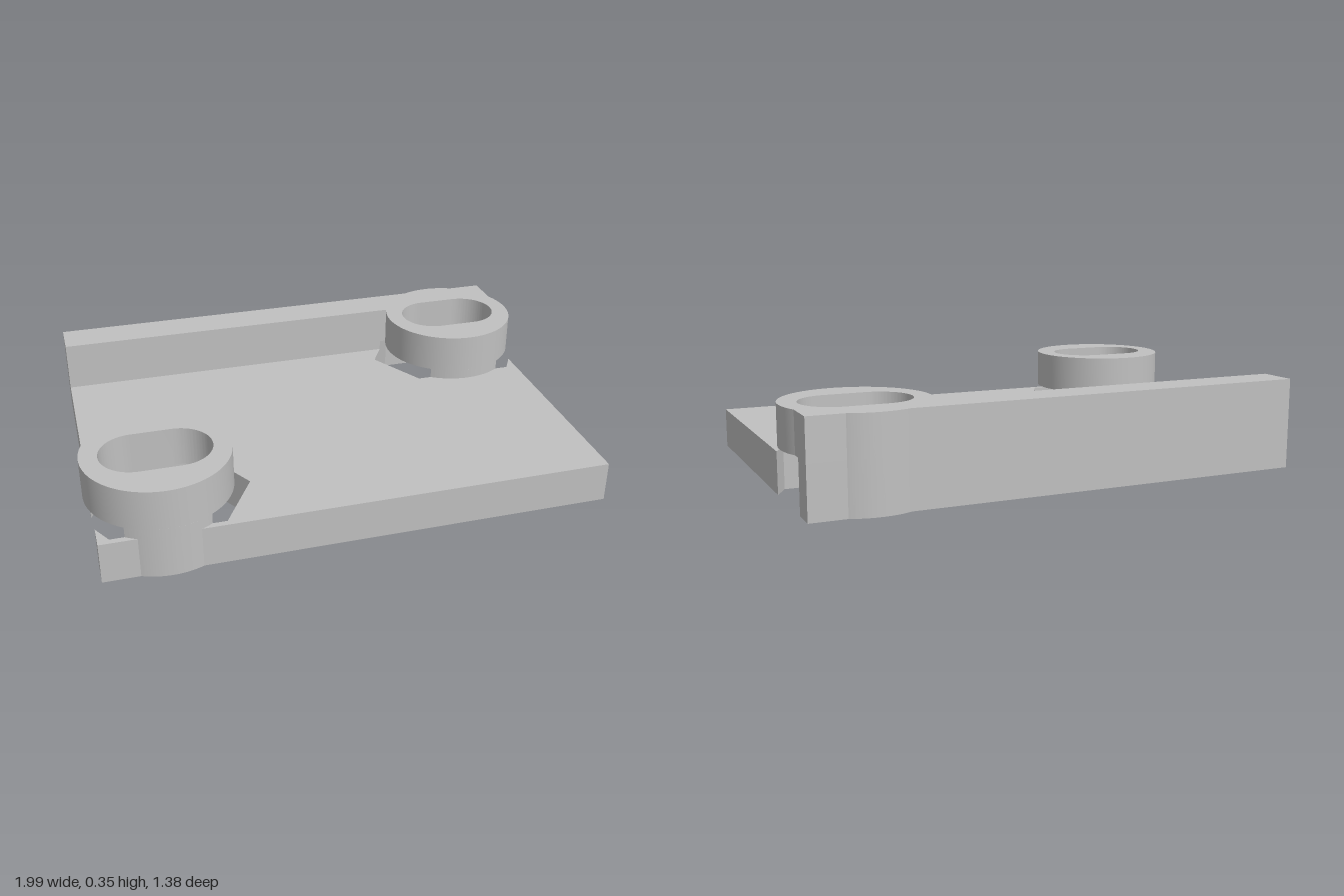
import * as THREE from 'three';
import { toCreasedNormals } from 'three/addons/utils/BufferGeometryUtils.js';

// Plan coordinates: x is right, v points to the back (v = -z)
const X = 0.97, V = 0.668, RAIL = 0.515;   // plate half sizes, rail inner edge
const BX = 0.72, BV = 0.417, R = 0.275;    // boss centre and radius
const SLOT = 0.077, SLOT_R = 0.13;         // slot half travel and radius
const HX = 0.208, HV = 0.2275, TIP = 0.339; // stretched hexagonal nut pocket
const Y1 = 0.16, Y2 = 0.2, Y3 = 0.355;     // plate top, pocket roof, full height

const bumpHalf = Math.sqrt(R * R - (V - BV) ** 2);
const bumpA = Math.atan2(V - BV, bumpHalf);
// Half width of the pocket opening on the plate's end
const mouth = HV * (TIP - (X - BX)) / (TIP - HX);

export function createModel() {
  const group = new THREE.Group();
  const grey = new THREE.MeshStandardMaterial({ color: 0xc0c0c0 });
  grey.name = 'plain grey';

  function layer(name, shape, y0, y1) {
    let geo = new THREE.ExtrudeGeometry(shape, { depth: y1 - y0, bevelEnabled: false, curveSegments: 48 });
    geo.rotateX(-Math.PI / 2);
    geo.translate(0, y0, 0);
    geo = toCreasedNormals(geo, 0.4);
    const mesh = new THREE.Mesh(geo, grey);
    mesh.name = name;
    group.add(mesh);
  }

  // Oblong screw slot through a boss
  function slot(cx, cv) {
    const p = new THREE.Path();
    p.moveTo(cx - SLOT, cv - SLOT_R);
    p.lineTo(cx + SLOT, cv - SLOT_R);
    p.absarc(cx + SLOT, cv, SLOT_R, -Math.PI / 2, Math.PI / 2, false);
    p.lineTo(cx - SLOT, cv + SLOT_R);
    p.absarc(cx - SLOT, cv, SLOT_R, Math.PI / 2, Math.PI * 1.5, false);
    return p;
  }

  // Back edge of the rail with the boss bulging out of it
  function railBack(s) {
    s.lineTo(X, V);
    s.absarc(BX, BV, R, bumpA, Math.PI - bumpA, false);
    s.lineTo(-X, V);
    s.closePath();
  }

  // Base plate: the same half outline twice, turned by 180 degrees
  const plate = new THREE.Shape();
  plate.moveTo(-X, -BV - mouth);
  for (const k of [1, -1]) {
    const to = (x, v) => plate.lineTo(k * x, k * v);
    const turn = k === 1 ? Math.PI : 0;
    to(-X, -V);
    plate.absarc(-k * BX, -k * BV, R, turn + bumpA, turn + Math.PI - bumpA, false);
    to(X, -V);
    to(X, BV - mouth);
    to(BX + HX, BV - HV);
    to(BX - HX, BV - HV);
    to(BX - TIP, BV);
    to(BX - HX, BV + HV);
    to(BX + HX, BV + HV);
    to(X, BV + mouth);
  }
  layer('basePlate', plate, 0, Y1);

  // Rail foot, cut by the nut pocket
  const foot = new THREE.Shape();
  foot.moveTo(-X, RAIL);
  foot.lineTo(BX - TIP + (RAIL - BV) * (TIP - HX) / HV, RAIL);
  foot.lineTo(BX - HX, BV + HV);
  foot.lineTo(BX + HX, BV + HV);
  foot.lineTo(X, BV + mouth);
  railBack(foot);
  layer('railFoot', foot, Y1, Y2);

  // Boss feet: circle segments left beside the pockets
  const a = Math.asin(HV / R);
  for (const [name, cx, cv, turn] of [
    ['frontBossOuterFoot', -BX, -BV, Math.PI],
    ['frontBossInnerFoot', -BX, -BV, 0],
    ['backBossInnerFoot', BX, BV, Math.PI],
  ]) {
    const s = new THREE.Shape();
    s.absarc(cx, cv, R, turn + a, turn + Math.PI - a, false);
    s.closePath();
    layer(name, s, Y1, Y2);
  }

  // Rail top merged with the back boss
  const top = new THREE.Shape();
  const dx = Math.sqrt(R * R - (RAIL - BV) ** 2);
  const dv = Math.sqrt(R * R - (X - BX) ** 2);
  top.moveTo(-X, RAIL);
  top.lineTo(BX - dx, RAIL);
  top.absarc(BX, BV, R, Math.atan2(RAIL - BV, -dx), Math.PI * 2 + Math.atan2(dv, X - BX), false);
  railBack(top);
  top.holes.push(slot(BX, BV));
  layer('railAndBackBoss', top, Y2, Y3);

  // Free-standing front boss
  const ring = new THREE.Shape();
  ring.absarc(-BX, -BV, R, 0, Math.PI * 2, false);
  ring.holes.push(slot(-BX, -BV));
  layer('frontBoss', ring, Y2, Y3);

  return group;
}
